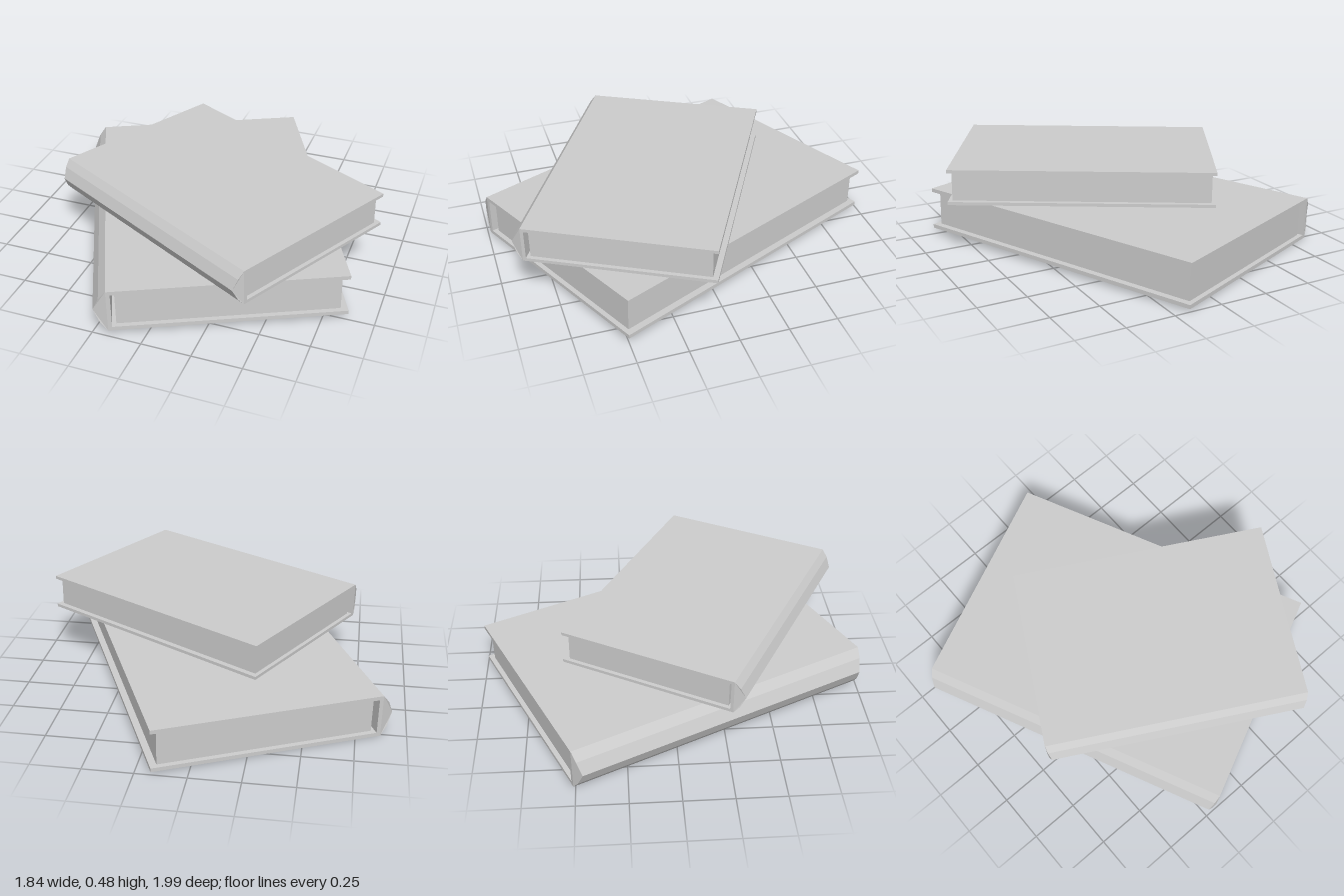
import * as THREE from 'three';

const W = 1.15, H = 0.225, L = 1.655; // cover width, book thickness, cover length
const BOARD = 0.02;
const material = new THREE.MeshStandardMaterial({ color: 0xcccccc, flatShading: true });

function box(name, x0, x1, y0, y1, z) {
  const mesh = new THREE.Mesh(new THREE.BoxGeometry(x1 - x0, y1 - y0, z), material);
  mesh.position.set((x0 + x1) / 2, (y0 + y1) / 2, 0);
  mesh.name = name;
  return mesh;
}

// Faceted, bulging spine whose ends taper towards the ridge
function spineGeometry() {
  // [outward offset, height, inset from the cover ends]
  const profile = [
    [0, H, 0], [0.036, H - 0.045, 0.01], [0.066, H / 2, 0.026],
    [0.036, 0.045, 0.01], [0, 0, 0],
  ];
  const n = profile.length;
  const points = [];
  for (const side of [-1, 1]) {
    for (const [out, y, inset] of profile) points.push(-W / 2 - out, y, side * (L / 2 - inset));
  }
  const index = [];
  for (let i = 0; i < n - 1; i++) {
    index.push(i, i + 1, n + i + 1, i, n + i + 1, n + i);
  }
  for (const [a, b, c] of [[2, 0, 1], [2, 3, 4], [2, 4, 0]]) {
    index.push(n + a, n + b, n + c, a, c, b);
  }
  const indexed = new THREE.BufferGeometry();
  indexed.setAttribute('position', new THREE.Float32BufferAttribute(points, 3));
  indexed.setIndex(index);
  const geometry = indexed.toNonIndexed();
  geometry.computeVertexNormals();
  return geometry;
}

function createBook(name) {
  const book = new THREE.Group();
  book.name = name;
  const spine = new THREE.Mesh(spineGeometry(), material);
  spine.name = 'spine';
  book.add(
    box('bottomCover', -W / 2, W / 2, 0, BOARD, L),
    box('topCover', -W / 2, W / 2, H - BOARD, H, L),
    box('spineBoard', -W / 2, -W / 2 + 0.02, BOARD, H - BOARD, L),
    box('pages', -W / 2 + 0.04, W / 2 - 0.034, BOARD, H - BOARD, L - 0.05),
    spine,
  );
  return book;
}

export function createModel() {
  const model = new THREE.Group();
  model.name = 'bookStack';

  // Both books lean very slightly
  const lower = createBook('lowerBook');
  lower.position.set(0.0, 0.019, -0.005);
  lower.rotation.set(-0.0136, 0.437, 0.0115, 'YXZ');

  const upper = createBook('upperBook');
  upper.scale.setScalar(0.81);
  upper.position.set(0.107, 0.29, 0.174);
  upper.rotation.set(-0.01, 1.07, 0.0105, 'YXZ');

  model.add(lower, upper);
  return model;
}
